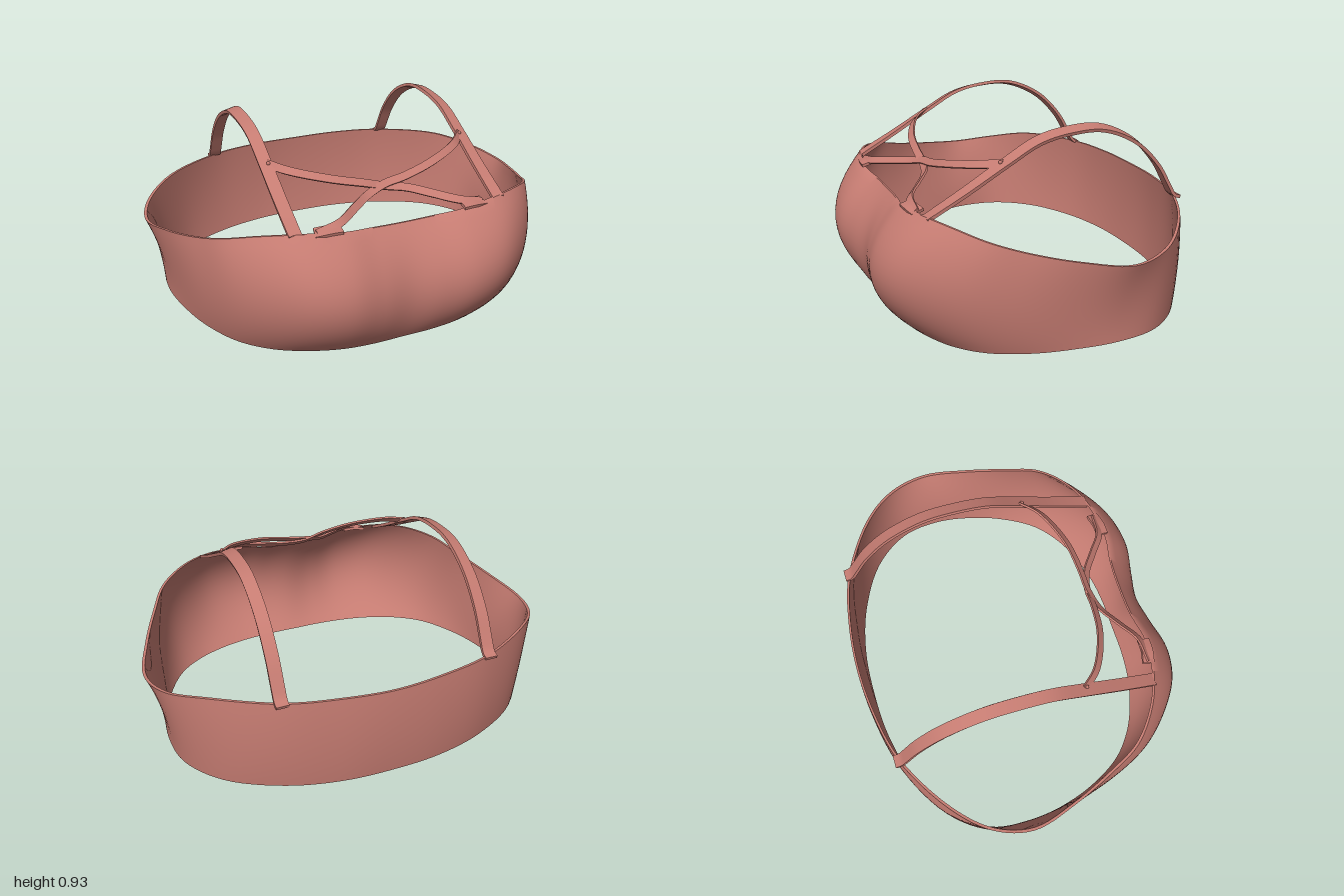
import * as THREE from 'three';
import { toCreasedNormals } from 'three/addons/utils/BufferGeometryUtils.js';

const V = (x, y, z) => new THREE.Vector3(x, y, z);

// Skin a list of equal closed cross-sections; join the ends or cap them.
function loft(sections, loop, crease) {
  const n = sections.length, m = sections[0].length;
  const pos = sections.flat().flatMap(p => [p.x, p.y, p.z]);
  const idx = [];
  for (let i = 0; i < (loop ? n : n - 1); i++) {
    for (let j = 0; j < m; j++) {
      const i2 = (i + 1) % n, j2 = (j + 1) % m;
      const a = i * m + j, b = i2 * m + j, c = i2 * m + j2, d = i * m + j2;
      idx.push(a, b, c, a, c, d);
    }
  }
  if (!loop) {
    const e = (n - 1) * m;
    for (let j = 1; j < m - 1; j++) idx.push(0, j, j + 1, e, e + j + 1, e + j);
  }
  const g = new THREE.BufferGeometry();
  g.setAttribute('position', new THREE.Float32BufferAttribute(pos, 3));
  g.setIndex(idx);
  return toCreasedNormals(g, crease);
}

// Flat strip along a path; widthAt(u) gives the direction across it.
function ribbon(points, width, thick, widthAt, steps = 60) {
  const curve = new THREE.CatmullRomCurve3(points);
  const sections = [];
  for (let i = 0; i <= steps; i++) {
    const u = i / steps, c = curve.getPointAt(u), t = curve.getTangentAt(u);
    const w = widthAt(u);
    w.addScaledVector(t, -w.dot(t)).normalize();
    const n = t.clone().cross(w);
    sections.push([[1, 1], [1, -1], [-1, -1], [-1, 1]].map(([a, b]) =>
      c.clone().addScaledVector(w, a * width / 2).addScaledVector(n, b * thick / 2)));
  }
  return loft(sections, false, 0.7);
}

// Half of the band, front centre to back centre:
// hem x, y, z | fullest x, z | upper edge x, y, z
const STATIONS = [
  [0, 0, .635, 0, .73, 0, .58, .60],
  [.15, 0, .635, .15, .755, .15, .585, .605],
  [.30, .002, .62, .31, .78, .30, .60, .625],
  [.45, .008, .58, .47, .745, .50, .615, .59],
  [.60, .015, .51, .63, .635, .65, .605, .52],
  [.73, .025, .40, .76, .49, .78, .57, .41],
  [.83, .035, .23, .85, .30, .86, .525, .26],
  [.89, .045, .05, .91, .08, .945, .48, .05],
  [.92, .05, -.15, .94, -.15, 1, .45, -.17],
  [.89, .05, -.36, .91, -.37, .945, .47, -.36],
  [.75, .05, -.55, .76, -.56, .79, .51, -.53],
  [.50, .05, -.69, .51, -.705, .50, .52, -.70],
  [.25, .05, -.755, .25, -.77, .25, .52, -.76],
  [0, .05, -.77, 0, -.787, 0, .515, -.78],
];

function bandGeometry() {
  const ring = pick => {
    const half = STATIONS.map(pick);
    const other = half.slice(1, -1).reverse().map(p => V(-p.x, p.y, p.z));
    return new THREE.CatmullRomCurve3([...half, ...other], true);
  };
  const hem = ring(s => V(s[0], s[1], s[2]));
  const full = ring(s => V(s[3], (s[1] + s[6]) / 2, s[4]));
  const edge = ring(s => V(s[5], s[6], s[7]));
  const around = 156, rows = 16, sections = [];
  for (let i = 0; i < around; i++) {
    const u = i / around, b = hem.getPoint(u), m = full.getPoint(u), t = edge.getPoint(u);
    const outer = [];
    // parabola through hem, fullest point and upper edge
    for (let j = 0; j <= rows; j++) {
      const v = j / rows;
      outer.push(V(0, 0, 0)
        .addScaledVector(b, (1 - v) * (1 - 2 * v))
        .addScaledVector(m, 4 * v * (1 - v))
        .addScaledVector(t, v * (2 * v - 1)));
    }
    const inner = outer.map(p => V(p.x * .986, p.y, p.z * .986)).reverse();
    sections.push([...outer, ...inner]);
  }
  return loft(sections, true, 0.8);
}

export function createModel() {
  const model = new THREE.Group();
  const cloth = new THREE.MeshStandardMaterial({ color: 0xc67c72 });
  const add = (name, geometry) => {
    const mesh = new THREE.Mesh(geometry, cloth);
    mesh.name = name;
    model.add(mesh);
    return mesh;
  };

  add('band', bandGeometry());

  // Shoulder strap path as z, y
  const shoulder = [[.585, .605], [.4, .70], [.2, .81], [.05, .885], [-.1, .913], [-.27, .908],
    [-.45, .825], [-.58, .695], [-.65, .58], [-.685, .525], [-.715, .515]];

  for (const s of [1, -1]) {
    const side = s > 0 ? 'left' : 'right';

    // inner edge lifts slightly over the shoulder
    add(side + 'ShoulderStrap', ribbon(shoulder.map(([z, y]) => V(s * .505, y, z)), .06, .016,
      u => V(1, -s * .3 * Math.sin(Math.PI * u), 0)));

    // Strap from one shoulder across the chest to the opposite front edge
    const lift = s * .006;
    const cross = [[.50, .803, .22], [.42, .785, .305], [.25, .748, .385], [.1, .713, .41],
      [0, .69 + lift, .415], [-.1, .67, .445], [-.2, .65, .515], [-.3, .63, .585], [-.41, .608, .60]];
    add(side + 'CrossStrap', ribbon(cross.map(([x, y, z]) => V(s * x, y, z)), .038, .01,
      () => V(0, .7, -.7)));

    // Folded tab where the cross strap meets the front edge
    const tab = [[.30, .612, .605], [.36, .613, .603], [.42, .605, .59]];
    add(side + 'StrapTab', ribbon(tab.map(([x, y, z]) => V(s * x, y, z)), .06, .014,
      () => V(0, .25, -1), 8));

    // Small stud joining the two straps
    const stud = add(side + 'StrapStud', new THREE.SphereGeometry(.009, 12, 8));
    stud.position.set(s * .495, .808, .23);
  }
  return model;
}
